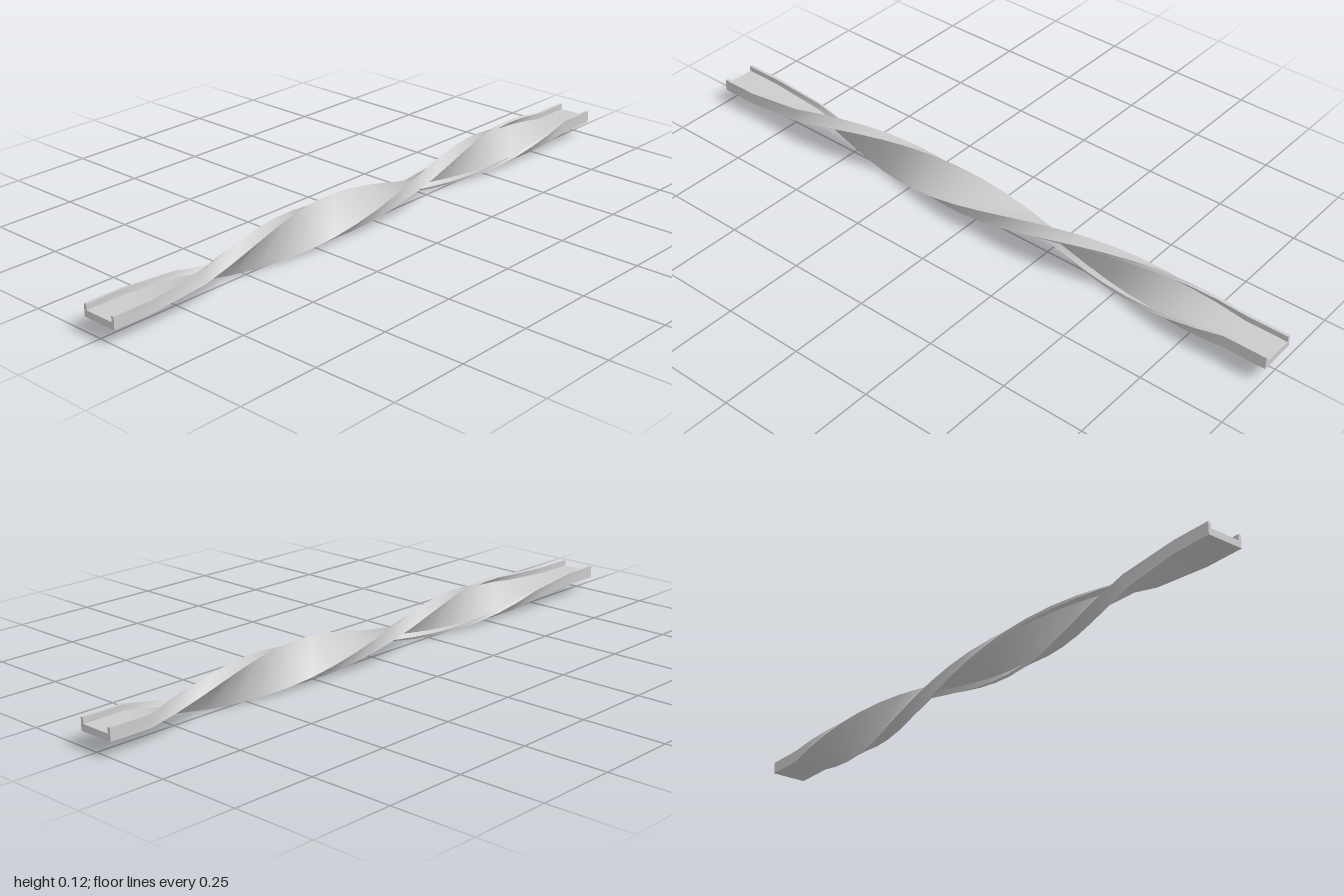
import * as THREE from 'three';
import { toCreasedNormals } from 'three/addons/utils/BufferGeometryUtils.js';

const AXIS_Y = 0.06;   // height of the twist axis
const TURN_STEPS = 20; // sections in the full turn
const W = 0.057, INNER = 0.048, LOW = -0.018, FLOOR = 0.002, HIGH = 0.0195;

// Position and twist of each section, from back to front
function sections() {
  const list = [{ z: -1, angle: Math.PI * 2 }];
  for (let k = TURN_STEPS; k >= 0; k--) {
    const z = k === 0 ? 0.88 : 0.78 - 0.0825 * k; // longer lead-in at the front
    list.push({ z, angle: (k / TURN_STEPS) * Math.PI * 2 });
  }
  list.push({ z: 1, angle: 0 });
  return list;
}

export function createModel() {
  const group = new THREE.Group();
  group.name = 'twistedTrack';

  // U-shaped channel section: floor with a low wall on each side
  const profile = new THREE.Shape([
    [-W, LOW], [W, LOW], [W, HIGH], [INNER, HIGH],
    [INNER, FLOOR], [-INNER, FLOOR], [-INNER, HIGH], [-W, HIGH],
  ].map(([x, y]) => new THREE.Vector2(x, y)));

  // Straight channel, then each section is turned about the long axis
  const stations = sections();
  const steps = stations.length - 1;
  const geometry = new THREE.ExtrudeGeometry(profile, { depth: steps, steps, bevelEnabled: false });
  const pos = geometry.attributes.position;
  for (let i = 0; i < pos.count; i++) {
    const { z, angle } = stations[Math.round(pos.getZ(i))];
    const x = pos.getX(i), y = pos.getY(i);
    const c = Math.cos(angle), s = Math.sin(angle);
    pos.setXYZ(i, x * c - y * s, AXIS_Y + x * s + y * c, z);
  }

  const track = new THREE.Mesh(
    toCreasedNormals(geometry, 0.7),
    new THREE.MeshStandardMaterial({ color: 0xcccccc }),
  );
  track.name = 'channel';
  group.add(track);
  return group;
}
